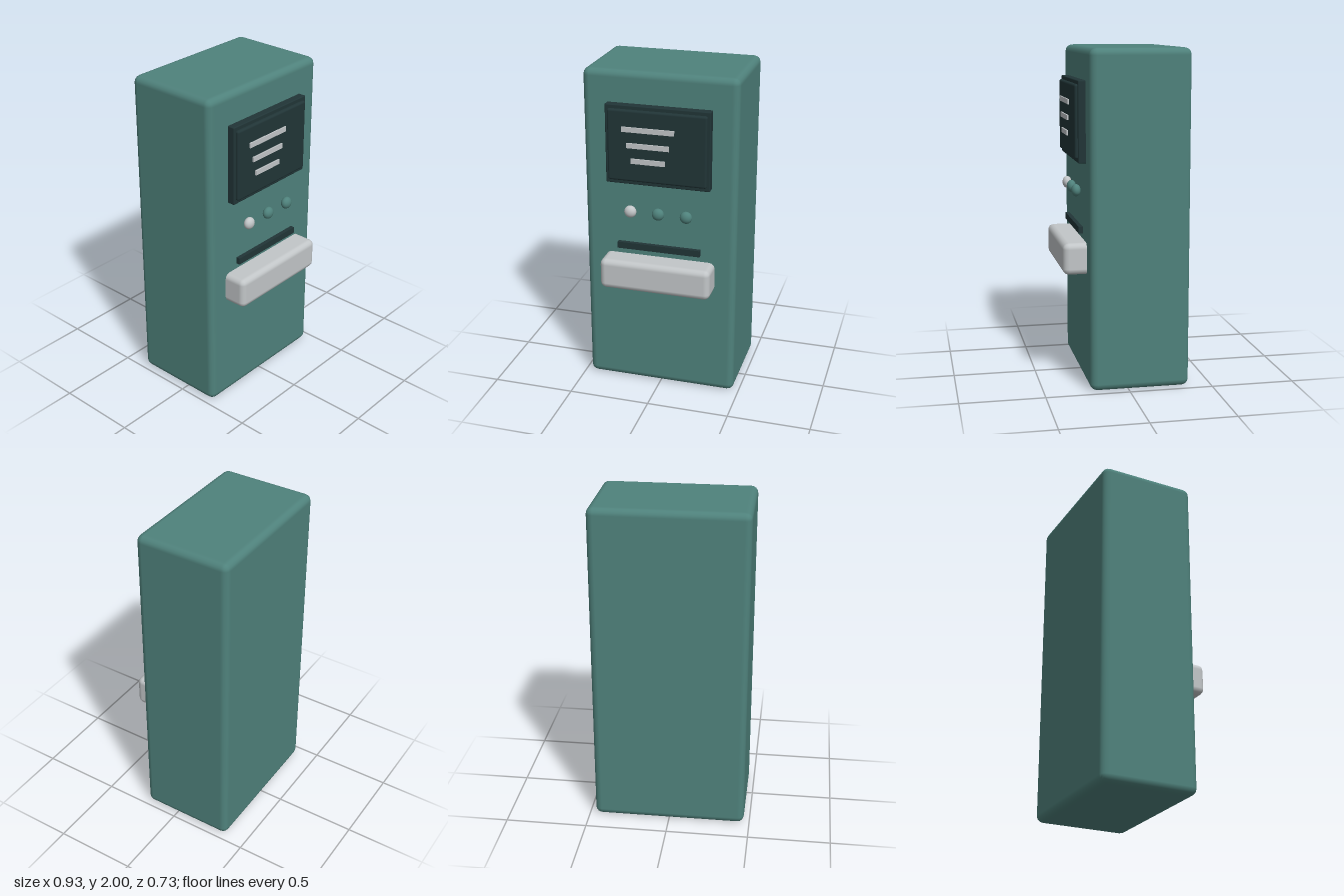
import * as THREE from 'three';
import { RoundedBoxGeometry } from 'three/addons/geometries/RoundedBoxGeometry.js';

export function createModel() {
  const model = new THREE.Group();
  model.name = 'ticketKiosk';

  const material = (name, color) => {
    const m = new THREE.MeshStandardMaterial({ color });
    m.name = name;
    return m;
  };
  const teal = material('teal', 0x4f827c);
  const dark = material('darkSlate', 0x213537);
  const silver = material('silver', 0xc2c6c8);

  // Box given by its extents; a radius rounds its edges
  const block = (name, mat, [x0, x1], [y0, y1], [z0, z1], radius = 0) => {
    const size = [x1 - x0, y1 - y0, z1 - z0];
    const geometry = radius
      ? new RoundedBoxGeometry(...size, 2, radius)
      : new THREE.BoxGeometry(...size);
    const mesh = new THREE.Mesh(geometry, mat);
    mesh.name = name;
    mesh.position.set((x0 + x1) / 2, (y0 + y1) / 2, (z0 + z1) / 2);
    model.add(mesh);
    return mesh;
  };

  // Cabinet
  block('cabinet', teal, [-0.466, 0.466], [0, 2], [-0.367, 0.227], 0.042);

  // Screen: surround and raised panel
  block('screenSurround', dark, [-0.315, 0.315], [1.334, 1.812], [0.19, 0.271], 0.006);
  block('screenPanel', dark, [-0.298, 0.298], [1.357, 1.789], [0.22, 0.289], 0.013);

  // Bars shown on the screen
  const bars = [
    [-0.207, 0.107, 1.676],
    [-0.178, 0.077, 1.58],
    [-0.154, 0.052, 1.487],
  ];
  for (const [x0, x1, y] of bars) {
    block('screenBar', silver, [x0, x1], [y - 0.015, y + 0.015], [0.29, 0.299]);
  }

  // Flattened round buttons
  const buttonGeometry = new THREE.SphereGeometry(0.037, 20, 14);
  [silver, teal, teal].forEach((mat, i) => {
    const button = new THREE.Mesh(buttonGeometry, mat);
    button.name = 'button';
    button.position.set((i - 1) * 0.171, 1.157, 0.263);
    button.scale.z = 0.76;
    model.add(button);
  });

  // Ticket slot and collection tray
  block('ticketSlot', dark, [-0.255, 0.255], [0.911, 0.951], [0.237, 0.262]);
  block('collectionTray', silver, [-0.34, 0.34], [0.677, 0.867], [0.12, 0.366], 0.036);

  return model;
}
